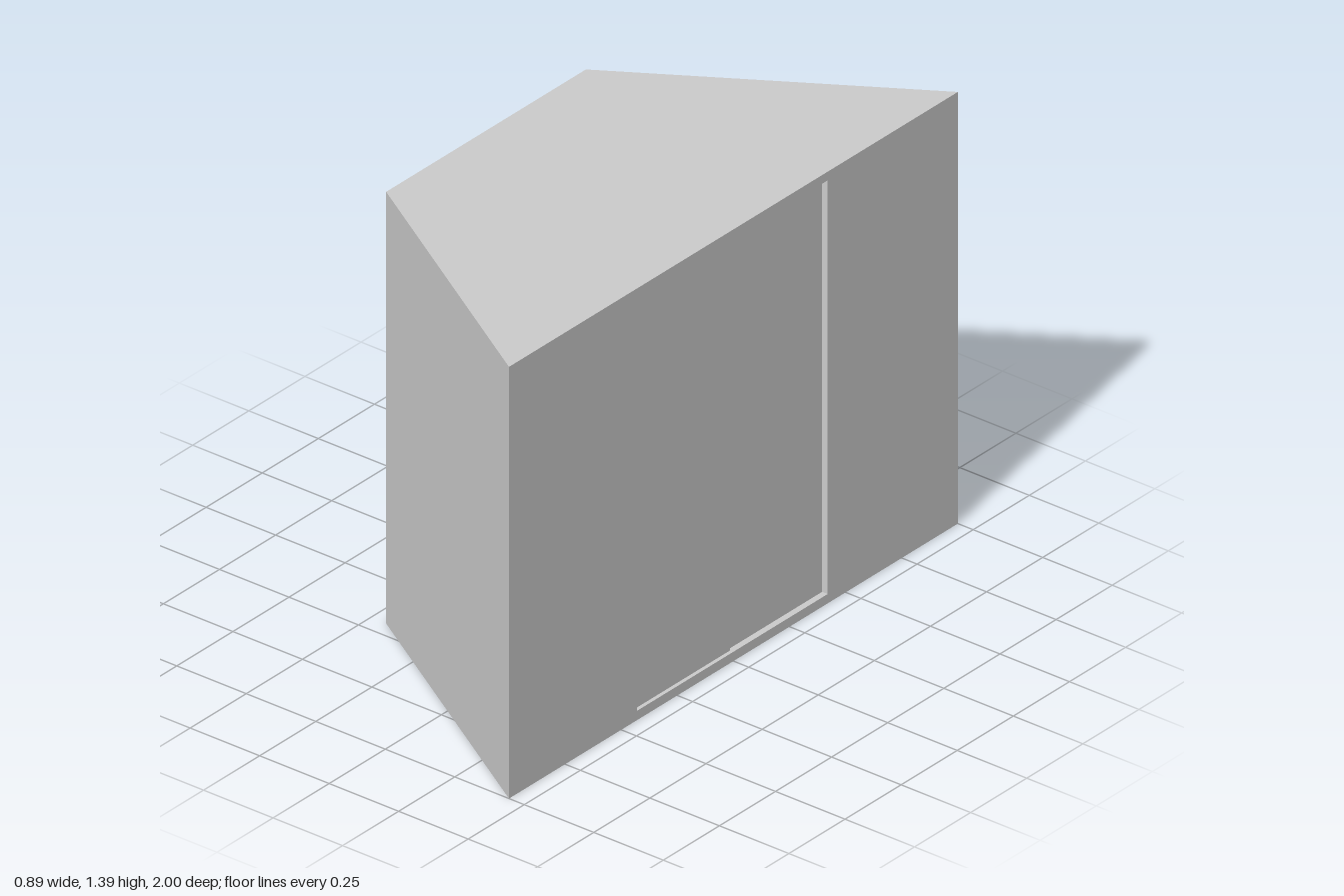
import * as THREE from 'three';

const HEIGHT = 1.39, FACE = 0.445, RECESS = 0.04;
const material = new THREE.MeshStandardMaterial({ color: 0xcccccc });

// Four corners, counter-clockwise as seen from outside
function quad(name, a, b, c, d) {
  const g = new THREE.BufferGeometry();
  g.setAttribute('position', new THREE.Float32BufferAttribute([a, b, c, d].flat(), 3));
  g.setIndex([0, 1, 2, 0, 2, 3]);
  g.computeVertexNormals();
  return named(name, g);
}

function named(name, geometry) {
  const mesh = new THREE.Mesh(geometry, material);
  mesh.name = name;
  return mesh;
}

export function createModel() {
  const model = new THREE.Group();
  model.name = 'cabin';

  // Trapezoid plan as [x, z]: slanted front, wide door side, slanted back, narrow side
  const plan = [[-FACE, 0.445], [FACE, 1], [FACE, -1], [-FACE, -0.445]];
  const at = ([x, z], y) => [x, y, z];
  model.add(quad('roof', ...plan.map(p => at(p, HEIGHT))));
  model.add(quad('floor', ...plan.map(p => at(p, 0)).reverse()));
  [['frontWall', 0], ['backWall', 2], ['narrowWall', 3]].forEach(([name, i]) => {
    const p = plan[i], q = plan[(i + 1) % 4];
    model.add(quad(name, at(p, 0), at(q, 0), at(q, HEIGHT), at(p, HEIGHT)));
  });

  // Door side is built facing +z, then turned to face +x
  const doorSide = new THREE.Group();
  doorSide.name = 'doorSide';
  doorSide.rotation.y = Math.PI / 2;
  doorSide.position.x = FACE;
  model.add(doorSide);

  const left = -0.43, right = 0.42, bottom = 0.03, top = 1.362;
  const opening = [[left, bottom], [right, bottom], [right, top], [left, top]];
  const wall = new THREE.Shape([[-1, 0], [1, 0], [1, HEIGHT], [-1, HEIGHT]].map(p => new THREE.Vector2(...p)));
  wall.holes.push(new THREE.Path(opening.map(p => new THREE.Vector2(...p))));
  doorSide.add(named('doorWall', new THREE.ShapeGeometry(wall)));

  // Lining and back of the shallow door recess
  opening.forEach((p, i) => {
    const q = opening[(i + 1) % 4];
    doorSide.add(quad('doorReveal', [...p, 0], [...q, 0], [...q, -RECESS], [...p, -RECESS]));
  });
  doorSide.add(quad('recessBack', ...opening.map(p => [...p, -RECESS])));

  // Two sliding leaves, one set slightly behind the other, with a thin gap above
  const leafTop = top - 0.007;
  [['outerDoorLeaf', left, 0, -0.012], ['innerDoorLeaf', 0, right, -0.02]].forEach(([name, x0, x1, front]) => {
    const depth = front + RECESS;
    const leaf = named(name, new THREE.BoxGeometry(x1 - x0, leafTop - bottom, depth));
    leaf.position.set((x0 + x1) / 2, (leafTop + bottom) / 2, front - depth / 2);
    doorSide.add(leaf);
  });

  return model;
}
